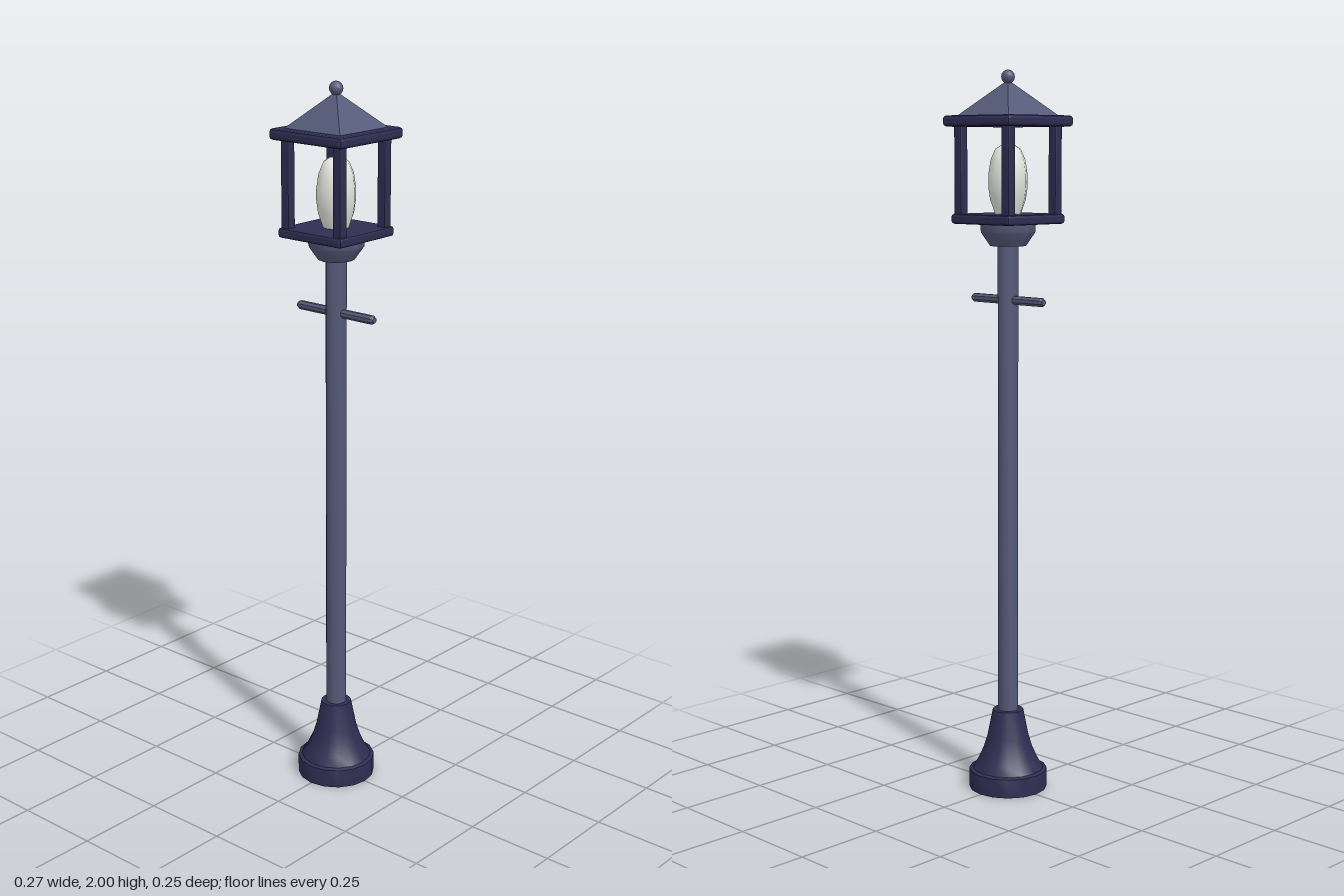
import * as THREE from 'three';
import { toCreasedNormals } from 'three/addons/utils/BufferGeometryUtils.js';
import { RoundedBoxGeometry } from 'three/addons/geometries/RoundedBoxGeometry.js';

const makeMaterial = (name, color) => {
  const m = new THREE.MeshStandardMaterial({ color });
  m.name = name;
  return m;
};

// Turned part from [radius, y] pairs, bottom to top
function turned(profile, sides, crease = 0.6, start = 0) {
  const points = profile.map(([r, y]) => new THREE.Vector2(r, y));
  return toCreasedNormals(new THREE.LatheGeometry(points, sides, start), crease);
}

// Box with chamfered edges
function chamferBox(w, h, d, bevel) {
  return toCreasedNormals(new RoundedBoxGeometry(w, h, d, 1, bevel), 0.3);
}

export function createModel() {
  const group = new THREE.Group();
  const darkMetal = makeMaterial('dark metal', 0x2f2d52);
  const slateMetal = makeMaterial('slate metal', 0x545a78);
  const bulbWhite = makeMaterial('bulb white', 0xe6e6e0);

  const add = (name, geometry, material, x = 0, y = 0, z = 0) => {
    const mesh = new THREE.Mesh(geometry, material);
    mesh.name = name;
    mesh.position.set(x, y, z);
    group.add(mesh);
    return mesh;
  };

  // Flared foot
  add('base', turned([
    [0, 0], [0.11, 0], [0.11, 0.053], [0.1, 0.057], [0.085, 0.08],
    [0.069, 0.115], [0.058, 0.15], [0.043, 0.226], [0, 0.226],
  ], 16), darkMetal);

  // Pole and the cup that carries the lantern
  add('pole', turned([[0, 0.2], [0.029, 0.2], [0.029, 1.54], [0, 1.54]], 12), slateMetal);
  add('collar', turned([
    [0, 1.53], [0.05, 1.53], [0.076, 1.567], [0.078, 1.592], [0, 1.592],
  ], 12), slateMetal);

  // Ladder bar with chamfered ends
  const bar = add('crossbar', turned([
    [0, -0.135], [0.008, -0.135], [0.0125, -0.128],
    [0.0125, 0.128], [0.008, 0.135], [0, 0.135],
  ], 8, 0.5, Math.PI / 8), slateMetal, 0, 1.383, 0);
  bar.rotation.z = Math.PI / 2;

  // Lantern cage
  add('lanternFloor', chamferBox(0.22, 0.027, 0.22, 0.007), darkMetal, 0, 1.603, 0);
  add('lanternLid', chamferBox(0.252, 0.03, 0.252, 0.009), darkMetal, 0, 1.864, 0);
  for (const x of [-1, 1]) {
    for (const z of [-1, 1]) {
      add('lanternPost', chamferBox(0.027, 0.25, 0.027, 0.004), darkMetal, x * 0.09, 1.732, z * 0.09);
    }
  }

  // Bulb
  add('bulb', turned([
    [0, 1.612], [0.034, 1.612], [0.049, 1.655], [0.054, 1.69], [0.054, 1.72],
    [0.048, 1.76], [0.035, 1.79], [0.02, 1.8], [0, 1.802],
  ], 10, 0.9), bulbWhite);

  // Four-sided roof and finial
  const corner = Math.SQRT2;
  add('roof', turned([
    [0, 1.877], [0.098 * corner, 1.877], [0.006 * corner, 1.967], [0, 1.967],
  ], 4, 0.3, Math.PI / 4), slateMetal);
  add('finial', new THREE.SphereGeometry(0.019, 12, 8), slateMetal, 0, 1.981, 0);

  return group;
}
